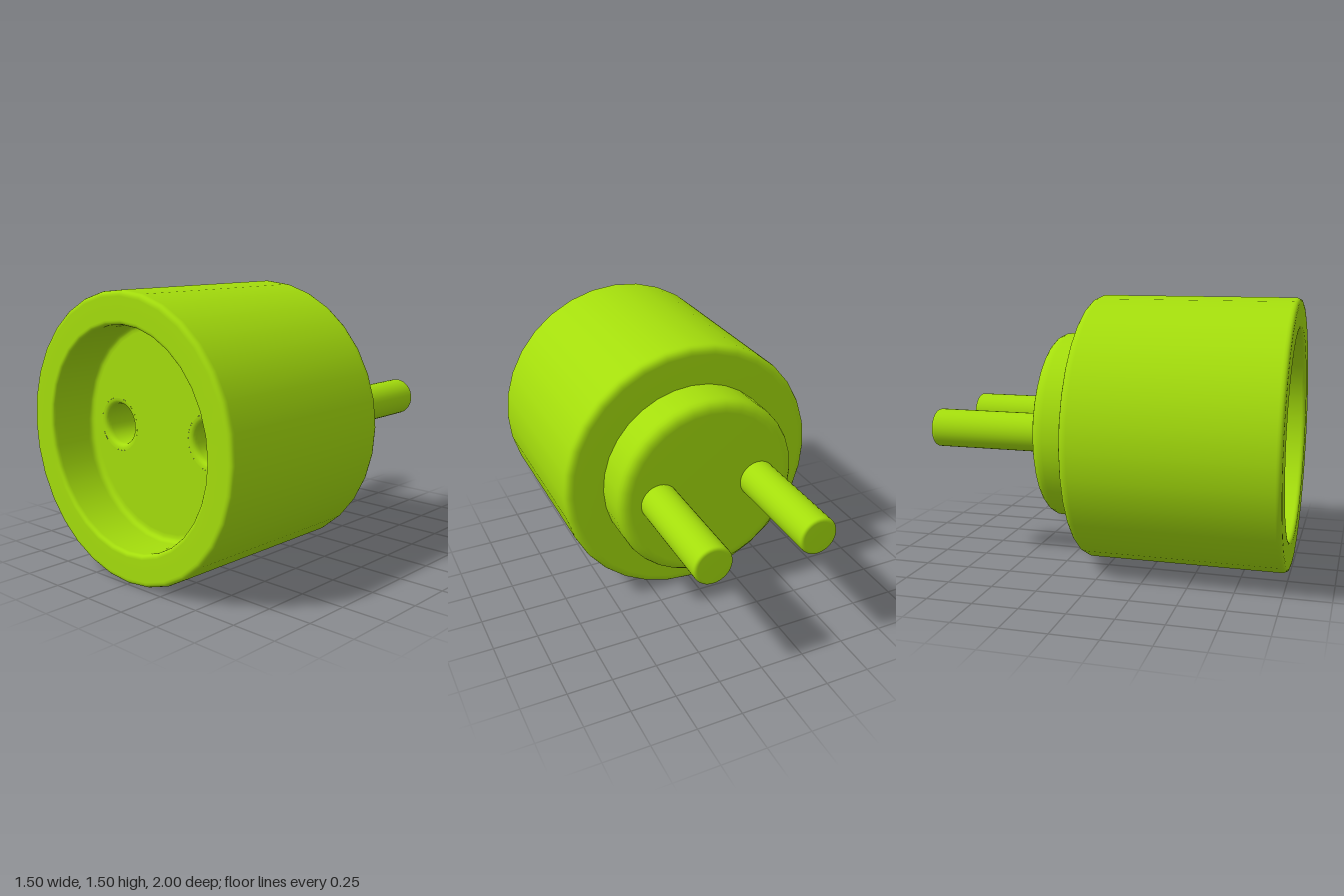
import * as THREE from 'three';

const material = new THREE.MeshStandardMaterial({ color: 0xa4dd0c });
const CENTRE_Y = 0.75;

// Turned part along z from corners [radius, z, fillet]; each corner with a fillet is rounded
function turned(name, corners, segments = 32) {
  const pts = corners.map(([r, z]) => new THREE.Vector2(r, z));
  const profile = [];
  corners.forEach(([, , fillet], i) => {
    const p = pts[i];
    if (!fillet) {
      profile.push(p);
      return;
    }
    const a = p.clone().add(pts[i - 1].clone().sub(p).setLength(fillet));
    const b = p.clone().add(pts[i + 1].clone().sub(p).setLength(fillet));
    profile.push(...new THREE.QuadraticBezierCurve(a, p, b).getPoints(5));
  });
  const geometry = new THREE.LatheGeometry(profile, segments).rotateX(Math.PI / 2);
  const mesh = new THREE.Mesh(geometry, material);
  mesh.name = name;
  return mesh;
}

export function createModel() {
  const group = new THREE.Group();
  group.name = 'plugAdapter';
  const R = 0.75, wallR = 0.58, floorZ = 0.74, floorR = 0.54;
  const holeX = 0.34, holeR = 0.11, mouthR = 0.145;
  const pinX = 0.297, pinR = 0.107;

  // Outer shell, front rim and recess wall
  group.add(turned('housing', [
    [0.45, -0.13],
    [R, -0.13, 0.05],
    [R, 1, 0.03],
    [wallR, 1, 0.025],
    [wallR, floorZ, 0.035],
    [floorR, floorZ],
  ]));

  // Recess floor with two openings
  const shape = new THREE.Shape();
  for (let i = 0; i < 32; i++) {
    const a = (i / 32) * Math.PI * 2;
    const x = floorR * Math.cos(a), y = floorR * Math.sin(a);
    if (i === 0) shape.moveTo(x, y);
    else shape.lineTo(x, y);
  }
  shape.closePath();
  for (const side of [-1, 1]) {
    shape.holes.push(new THREE.Path().absarc(side * holeX, 0, mouthR, 0, Math.PI * 2, true));
  }
  const floor = new THREE.Mesh(new THREE.ShapeGeometry(shape, 32), material);
  floor.name = 'recessFloor';
  floor.position.z = floorZ;
  group.add(floor);

  // Stepped boss on the back
  group.add(turned('backBoss', [
    [0, -0.36],
    [0.53, -0.36, 0.07],
    [0.53, -0.13],
  ]));

  // Mirrored pin sockets and contact pins
  for (const side of [-1, 1]) {
    const label = side > 0 ? 'left' : 'right';
    const socket = turned(label + 'Socket', [
      [mouthR, floorZ],
      [holeR, floorZ, 0.034],
      [holeR, 0.3, 0.01],
      [0, 0.3],
    ]);
    socket.position.x = side * holeX;

    const pin = turned(label + 'Pin', [
      [0, -1],
      [pinR, -1, 0.02],
      [pinR, -0.34],
    ]);
    pin.position.x = side * pinX;
    group.add(socket, pin);
  }

  for (const part of group.children) part.position.y = CENTRE_Y;
  return group;
}
